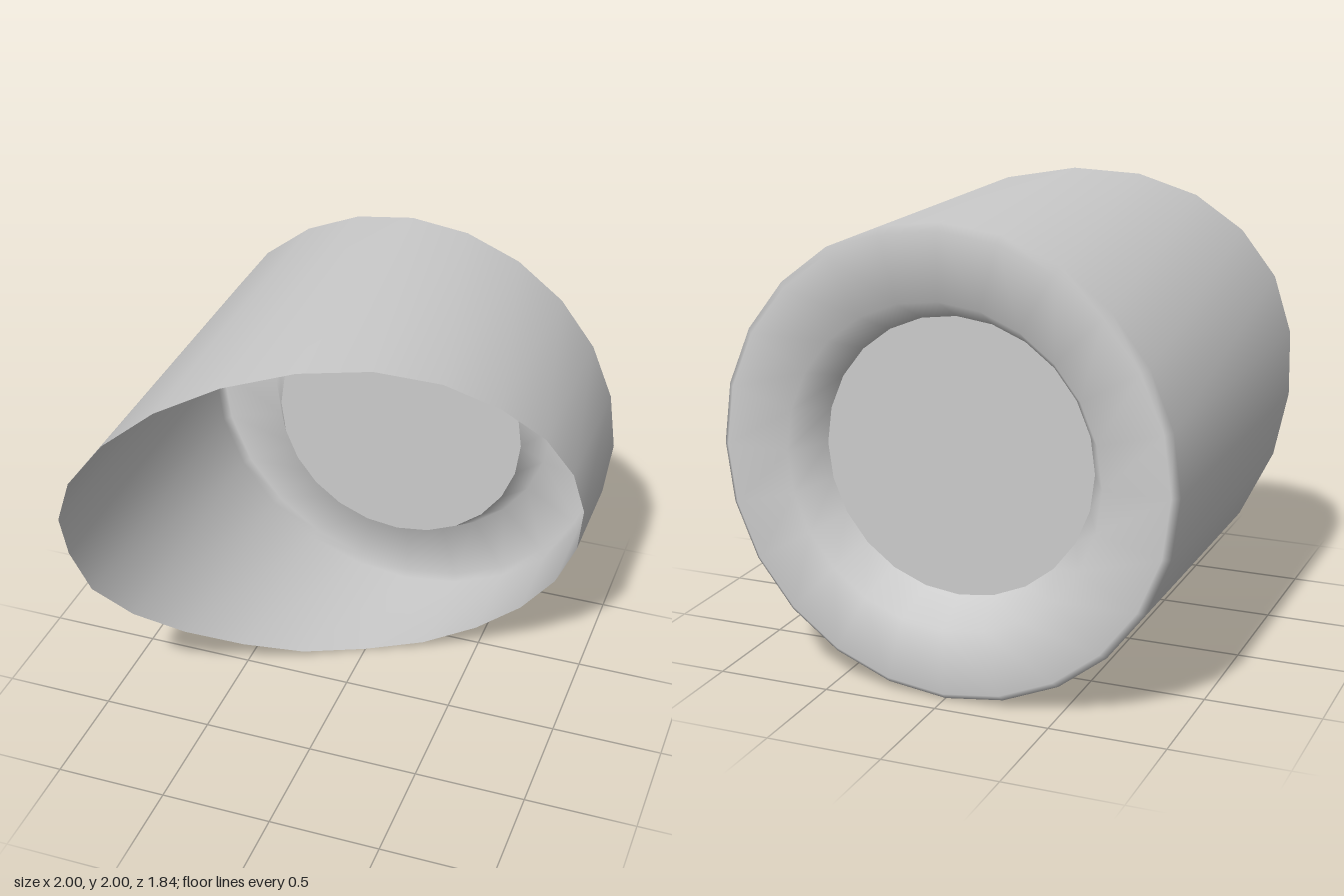
import * as THREE from 'three';
import { mergeVertices } from 'three/addons/utils/BufferGeometryUtils.js';

const SIDES = 24;
const LENS_RADIUS = 0.595;
const LENS_Z = -0.74;

// Depth of the slanted front rim, clockwise from the top
const RIM_Z = [
  0.59, 0.42, 0.26, 0.11, -0.05, -0.19, -0.31, -0.39, -0.44, -0.46, -0.44, -0.37,
  -0.27, -0.11, 0.05, 0.24, 0.44, 0.62, 0.73, 0.85, 0.92, 0.91, 0.85, 0.74,
];

// Tube wall, bevelled back edge, back ring and recessed cone in one sheet
function hoodGeometry() {
  const profile = [
    [1, 0], [1, -0.89], [0.97, -0.92], [0.69, -0.92], [LENS_RADIUS, LENS_Z],
  ].map(([r, z]) => new THREE.Vector2(r, -z));
  const lathe = new THREE.LatheGeometry(profile, SIDES);
  lathe.rotateX(-Math.PI / 2);

  // Slant the front edge
  const pos = lathe.attributes.position;
  for (let i = 0; i <= SIDES; i++) pos.setZ(i * profile.length, RIM_Z[i % SIDES]);

  // Weld the seam and smooth
  lathe.deleteAttribute('uv');
  lathe.deleteAttribute('normal');
  const welded = mergeVertices(lathe, 1e-4);
  welded.computeVertexNormals();
  return welded;
}

export function createModel() {
  const group = new THREE.Group();
  group.name = 'slantedHood';
  const material = new THREE.MeshStandardMaterial({ color: 0xcccccc, side: THREE.DoubleSide });

  const hood = new THREE.Mesh(hoodGeometry(), material);
  hood.name = 'hood';
  hood.position.y = 1;

  // Flat disc closing the recess
  const lens = new THREE.Mesh(new THREE.CircleGeometry(LENS_RADIUS, SIDES), material);
  lens.name = 'lens';
  lens.position.set(0, 1, LENS_Z);

  group.add(hood, lens);
  return group;
}
